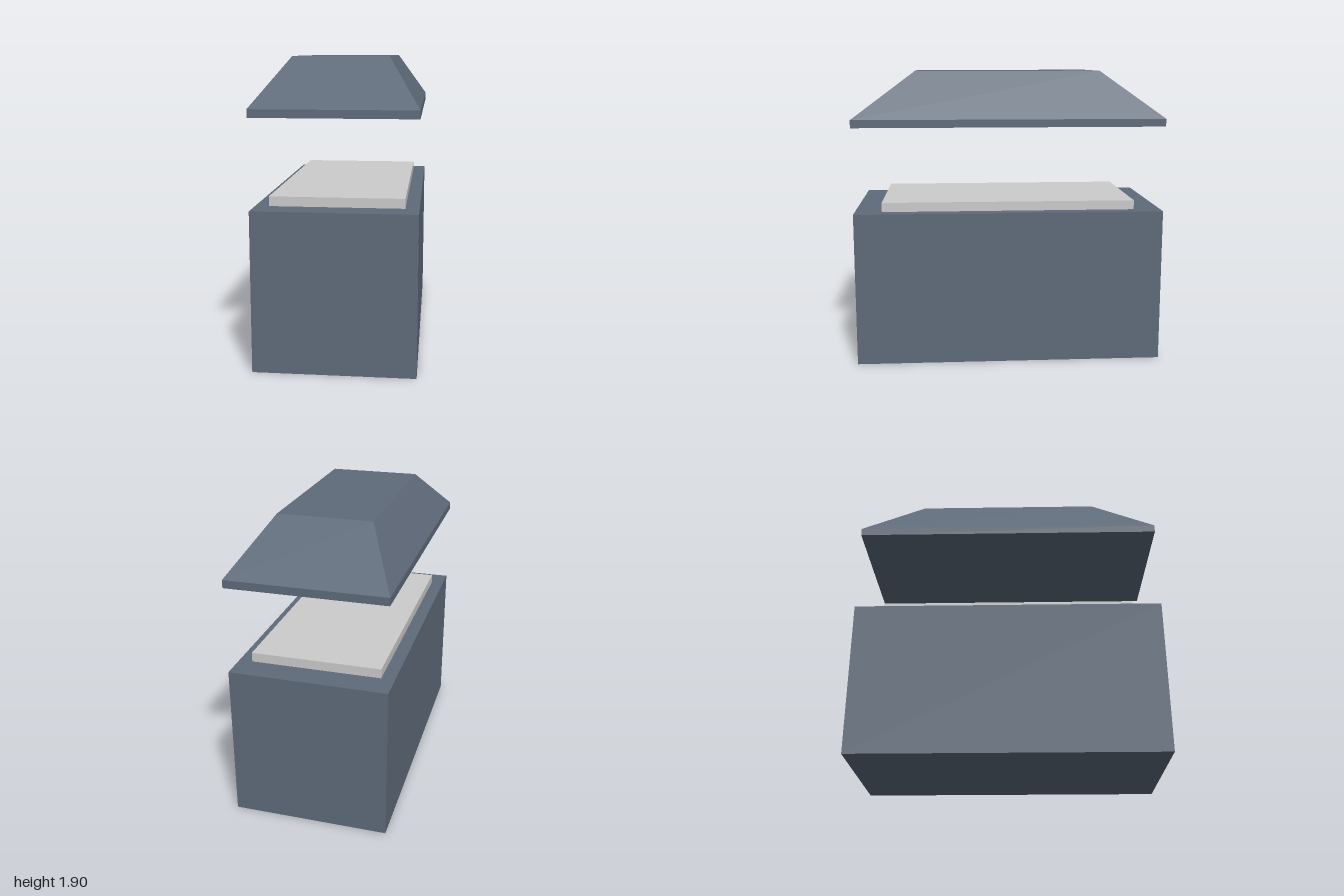
import * as THREE from 'three';

const slate = new THREE.MeshStandardMaterial({ color: 0x5f6b7a, flatShading: true });
const grey = new THREE.MeshStandardMaterial({ color: 0xcccccc, flatShading: true });

function addPart(group, name, geometry, material) {
  const mesh = new THREE.Mesh(geometry, material);
  mesh.name = name;
  group.add(mesh);
}

// Box standing on height y
function block(w, h, d, y) {
  return new THREE.BoxGeometry(w, h, d).translate(0, y + h / 2, 0);
}

// Lid: a thin upright rim below four slopes that rise to a flat top
function lidGeometry() {
  const geometry = new THREE.BoxGeometry(1, 2, 2, 1, 2, 1);
  const p = geometry.attributes.position;
  for (let i = 0; i < p.count; i++) {
    const level = Math.round(p.getY(i)) + 1;
    const inset = level === 2 ? 0.6 : 1;
    p.setXYZ(i, p.getX(i) * inset, [1.55, 1.6, 1.9][level], p.getZ(i) * inset);
  }
  geometry.computeVertexNormals();
  return geometry;
}

export function createModel() {
  const model = new THREE.Group();
  model.name = 'boxWithRaisedLid';

  addPart(model, 'base', block(1, 1, 2, 0), slate);
  addPart(model, 'innerPlate', block(0.83, 0.06, 1.65, 1), grey);
  addPart(model, 'lid', lidGeometry(), slate);

  return model;
}
